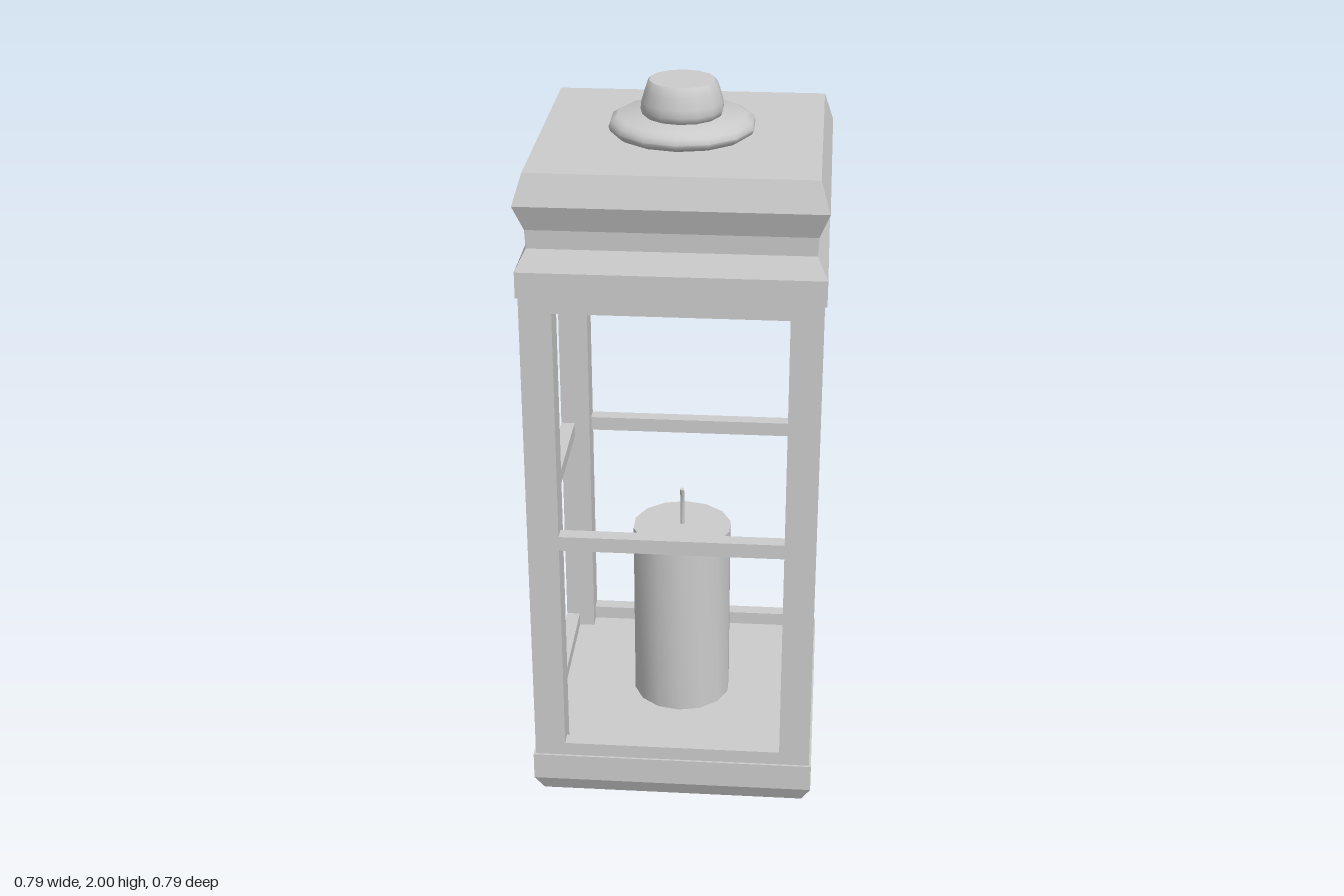
import * as THREE from 'three';
import { toCreasedNormals } from 'three/addons/utils/BufferGeometryUtils.js';

const smooth = new THREE.MeshStandardMaterial({ color: 0xcccccc });
const flat = new THREE.MeshStandardMaterial({ color: 0xcccccc, flatShading: true });

export function createModel() {
  const lantern = new THREE.Group();
  lantern.name = 'lantern';

  const add = (name, geometry, material, parent = lantern) => {
    const mesh = new THREE.Mesh(geometry, material);
    mesh.name = name;
    parent.add(mesh);
    return mesh;
  };
  const toPoints = (profile) => profile.map(([r, y]) => new THREE.Vector2(r, y));

  // Square moulding: a four-sided lathe whose profile gives half widths
  const squareMoulding = (name, profile) => {
    const points = toPoints(profile.map(([h, y]) => [h * Math.SQRT2, y]));
    add(name, new THREE.LatheGeometry(points, 4, Math.PI / 4), flat);
  };
  // Turned part with 14 sides and sharp rims
  const turned = (name, profile) =>
    add(name, toCreasedNormals(new THREE.LatheGeometry(toPoints(profile), 14), 0.8), smooth);

  squareMoulding('base', [[0, 0], [0.37, 0], [0.395, 0.05], [0.395, 0.13], [0, 0.13]]);
  squareMoulding('roof', [
    [0, 1.535], [0.395, 1.535], [0.395, 1.605], [0.367, 1.66],
    [0.369, 1.71], [0.395, 1.78], [0.37, 1.86], [0, 1.86],
  ]);

  // Corner posts and the thin rails between them, one set per side
  const half = 0.389, post = 0.085, rail = 0.04;
  const frame = new THREE.Group();
  frame.name = 'frame';
  lantern.add(frame);
  for (let i = 0; i < 4; i++) {
    const side = new THREE.Group();
    side.name = 'frameSide';
    side.rotation.y = (i * Math.PI) / 2;
    frame.add(side);
    const c = half - post / 2;
    add('cornerPost', new THREE.BoxGeometry(post, 1.405, post), flat, side).position.set(c, 0.8325, c);
    for (const [name, low, high] of [
      ['bottomRail', 0.13, 0.17], ['middleRail', 0.8, 0.842], ['topRail', 1.493, 1.535],
    ]) {
      const bar = add(name, new THREE.BoxGeometry(2 * (half - post), high - low, rail), flat, side);
      bar.position.set(0, (low + high) / 2, half - rail / 2);
    }
  }

  // Finial: rounded collar and knob
  turned('collar', [
    [0.178, 1.86], [0.19, 1.868], [0.195, 1.88], [0.19, 1.895], [0.172, 1.906], [0, 1.908],
  ]);
  turned('knob', [
    [0.095, 1.903], [0.105, 1.91], [0.11, 1.925], [0.108, 1.945],
    [0.099, 1.975], [0.094, 1.99], [0.087, 2], [0, 2],
  ]);

  // Candle with a slightly bent wick
  turned('candle', [[0, 0.13], [0.142, 0.13], [0.142, 0.677], [0, 0.677]]);
  const bend = new THREE.CatmullRomCurve3([
    new THREE.Vector3(0, 0.67, -0.008), new THREE.Vector3(0, 0.725, -0.008),
    new THREE.Vector3(0, 0.77, -0.003), new THREE.Vector3(0, 0.797, 0.008),
  ]);
  add('wick', new THREE.TubeGeometry(bend, 8, 0.006, 6), smooth);
  const tip = add('wickTip', new THREE.CylinderGeometry(0.006, 0.007, 0.022, 6), smooth);
  tip.position.set(0, 0.788, 0.005);
  tip.rotation.x = 0.35;

  return lantern;
}
